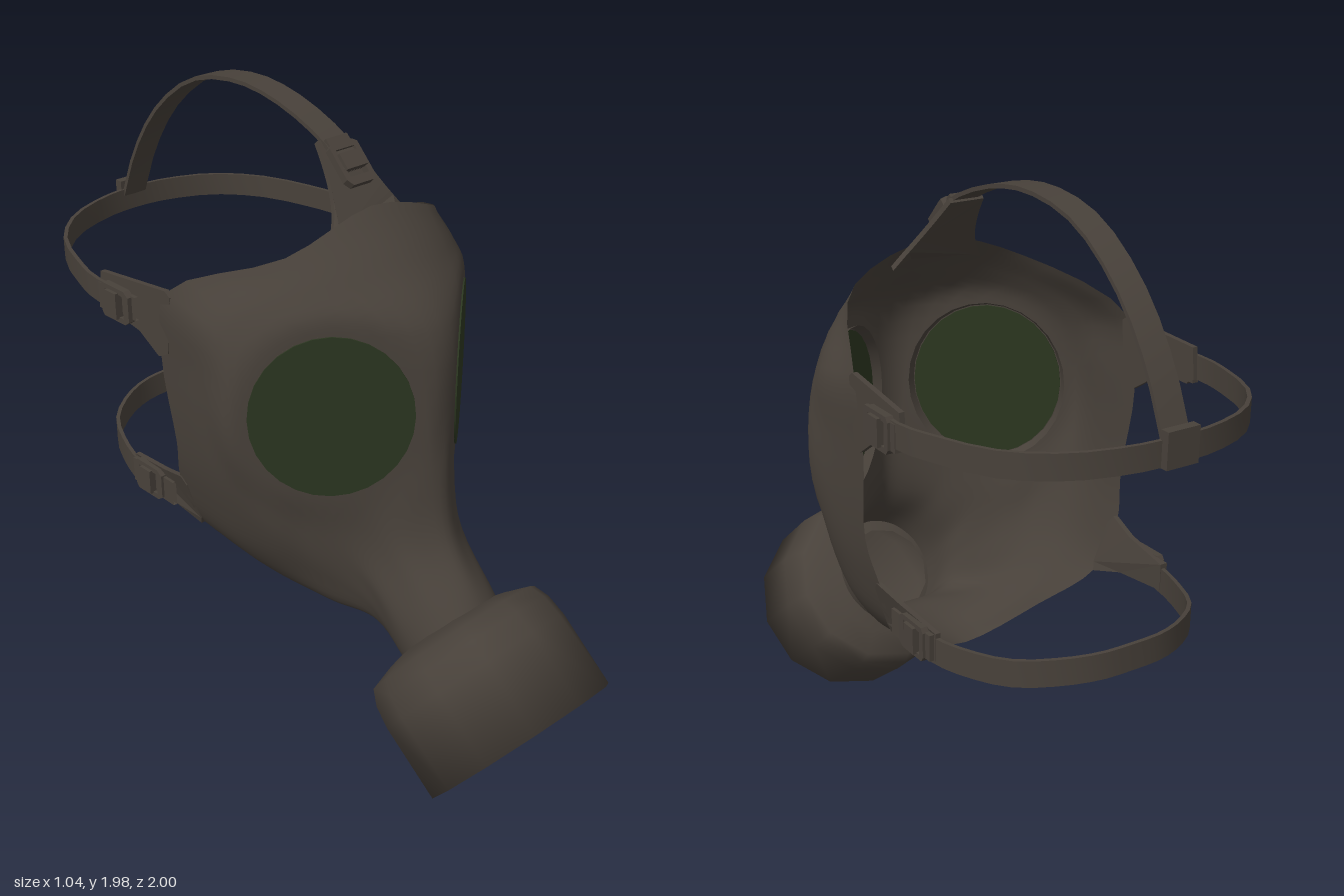
import * as THREE from 'three';
import { toCreasedNormals } from 'three/addons/utils/BufferGeometryUtils.js';

const V = (x, y, z) => new THREE.Vector3(x, y, z);
const rubber = new THREE.MeshStandardMaterial({ color: 0x48413a, side: THREE.DoubleSide });
rubber.name = 'dark brown rubber';
const glass = new THREE.MeshStandardMaterial({ color: 0x2b3620, side: THREE.DoubleSide });
glass.name = 'dark green glass';

function part(name, geometry, material = rubber) {
  const mesh = new THREE.Mesh(geometry, material);
  mesh.name = name;
  return mesh;
}

// Surface from rows of points, each row closing on itself
function loft(rows) {
  const n = rows[0].length, index = [];
  for (let v = 0; v < rows.length - 1; v++) {
    for (let u = 0; u < n; u++) {
      const a = v * n + u, b = v * n + (u + 1) % n;
      index.push(a, a + n, b, b, a + n, b + n);
    }
  }
  const g = new THREE.BufferGeometry().setFromPoints(rows.flat());
  g.setIndex(index);
  g.computeVertexNormals();
  return g;
}

// Columns of the left half, running from the rear rim towards the neck
const COLUMNS = [
  [[0, 1.74, .15], [0, 1.61, .29], [0, 1.45, .425], [0, 1.1, .455], [0, .82, .49]],
  [[.29, 1.655, .115], [.25, 1.57, .23], [.17, 1.46, .345], [.09, 1.1, .41], [.07, .8, .46]],
  [[.465, 1.51, -.19], [.455, 1.46, .04], [.36, 1.38, .18], [.2, 1.12, .315], [.13, .8, .4]],
  [[.465, 1.3, -.23], [.47, 1.28, .05], [.41, 1.2, .14], [.27, 1, .25], [.16, .76, .36]],
  [[.45, 1.02, -.2], [.465, 1.06, .04], [.41, 1, .12], [.3, .88, .21], [.185, .7, .33]],
  [[.42, .87, -.23], [.43, .87, 0], [.38, .83, .12], [.29, .75, .2], [.18, .64, .32]],
  [[.365, .71, -.2], [.37, .71, -.02], [.33, .69, .1], [.26, .65, .19], [.17, .58, .31]],
  [[.22, .58, -.1], [.23, .56, 0], [.22, .55, .1], [.19, .53, .2], [.13, .5, .31]],
  [[0, .47, -.02], [0, .48, .06], [0, .5, .15], [0, .5, .25], [0, .46, .33]],
];
const LENS = V(.26, 1.215, .265), LENS_NORMAL = V(.64, 0, .768).normalize();

// Flatten the face around each lens so that the glass sits flush
function flattenForLens(p) {
  const s = Math.sign(p.x), q = V(Math.abs(p.x), p.y, p.z);
  if (q.x < .02) return p;
  const d = q.clone().sub(LENS), h = d.dot(LENS_NORMAL);
  const radius = d.addScaledVector(LENS_NORMAL, -h).length();
  if (Math.abs(h) > .15) return p;
  q.addScaledVector(LENS_NORMAL, -h * (1 - THREE.MathUtils.smoothstep(radius, .255, .36)));
  return V(q.x * s, q.y, q.z);
}

function faceShell() {
  const half = COLUMNS.map((column, i) => {
    const a = i * Math.PI / 8, c = .178 * Math.cos(a); // column ends on the tilted neck ring
    const pts = column.map(p => V(...p));
    pts.push(V(.158 * Math.sin(a), .498 + .783 * c, .506 + .623 * c));
    return new THREE.CatmullRomCurve3(pts).getPoints(30);
  });
  const rows = [];
  for (let v = 0; v <= 30; v++) {
    const left = half.map(c => c[v]);
    const right = left.slice(1, -1).reverse().map(p => V(-p.x, p.y, p.z));
    const ring = new THREE.CatmullRomCurve3([...left, ...right], true);
    rows.push(Array.from({ length: 64 }, (_, u) => flattenForLens(ring.getPoint(u / 64))));
  }
  return loft(rows);
}

// Flat strap: rectangular section swept along a curve, its width along a fixed axis
function strap(name, points, across, width, segments) {
  const curve = new THREE.CatmullRomCurve3(points), rows = [];
  for (let i = 0; i <= segments; i++) {
    const p = curve.getPoint(i / segments);
    const n = curve.getTangent(i / segments).cross(across).normalize();
    rows.push([[1, 1], [1, -1], [-1, -1], [-1, 1]].map(([a, b]) =>
      p.clone().addScaledVector(across, a * width / 2).addScaledVector(n, b * .006)));
  }
  return part(name, toCreasedNormals(loft(rows), .7));
}

function headLoop(name, half, width) {
  const left = half.map(p => V(...p));
  const right = left.slice(0, -1).reverse().map(p => V(-p.x, p.y, p.z));
  return strap(name, [...left, ...right], V(0, 1, 0), width, 28);
}

// Buckle: open frame, cross bar and strap keeper, facing local +z
function buckle(name, position, along, facing) {
  const group = new THREE.Group();
  group.name = name;
  const shape = new THREE.Shape([[-.038, -.07], [.038, -.07], [.052, -.05], [.052, .05],
    [.038, .06], [-.038, .06], [-.052, .05], [-.052, -.05]].map(p => new THREE.Vector2(...p)));
  shape.holes.push(new THREE.Path([[-.035, -.045], [-.035, .04], [.035, .04], [.035, -.045]]
    .map(p => new THREE.Vector2(...p))));
  group.add(part('buckleFrame', new THREE.ExtrudeGeometry(shape, { depth: .022, bevelEnabled: false })));
  const bar = part('buckleBar', new THREE.BoxGeometry(.08, .05, .026));
  bar.position.z = .02;
  const keeper = part('strapKeeper', new THREE.BoxGeometry(.08, .025, .02));
  keeper.position.set(0, .07, .004);
  group.add(bar, keeper);
  const x = along.clone().cross(facing);
  group.setRotationFromMatrix(new THREE.Matrix4().makeBasis(x, along, facing));
  group.position.copy(position);
  return group;
}

// Side tab: outline in (backward, up), drifting from x0 to x1 and leaning out with height
function sideTab(name, outline, side, x0, x1, lean, midHeight) {
  const shape = new THREE.Shape(outline.map(p => new THREE.Vector2(...p)));
  const g = new THREE.ExtrudeGeometry(shape, { depth: .016, bevelEnabled: false });
  g.translate(0, 0, -.008).rotateY(Math.PI / 2);
  const pos = g.attributes.position;
  for (let i = 0; i < pos.count; i++) {
    const t = (-pos.getZ(i) - .19) / .29;
    const x = x0 + (x1 - x0) * t + lean * (1 - t) * (pos.getY(i) - midHeight);
    pos.setX(i, pos.getX(i) + side * x);
  }
  g.computeVertexNormals();
  return part(name, g);
}

export function createModel() {
  const model = new THREE.Group();
  model.name = 'gasMask';
  model.add(part('faceShell', faceShell()));

  // Filter canister on the tilted neck
  const profile = [[0, 0], [.313, 0], [.316, .24], [.308, .31], [.288, .358], [.21, .385], [.15, .4]];
  const canister = part('filterCanister',
    new THREE.LatheGeometry(profile.map(p => new THREE.Vector2(...p)), 12));
  canister.rotation.x = -.898;
  canister.position.set(0, .252, .805);
  model.add(canister);

  // Lenses, side tabs and side buckles
  const upperTab = [[.17, 1.5], [.19, 1.515], [.47, 1.495], [.48, 1.4], [.4, 1.375], [.31, 1.355], [.23, 1.3], [.19, 1.32]];
  const lowerTab = [[.2, .86], [.22, .885], [.32, .86], [.49, .84], [.49, .755], [.31, .74], [.2, .705], [.19, .73]];
  for (const s of [1, -1]) {
    const side = s > 0 ? 'left' : 'right';
    const lensGroup = new THREE.Group();
    lensGroup.name = side + 'Eyepiece';
    const disc = new THREE.CylinderGeometry(1, 1, .009, 28).rotateX(Math.PI / 2).scale(.235, .25, 1);
    const lip = new THREE.CylinderGeometry(1, 1.05, .03, 28, 1, true).rotateX(Math.PI / 2).scale(.238, .253, 1);
    lip.translate(0, 0, -.015);
    lensGroup.add(part('lens', disc, glass), part('innerLip', lip));
    lensGroup.rotation.y = s * Math.atan2(LENS_NORMAL.x, LENS_NORMAL.z);
    lensGroup.position.set(s * LENS.x, LENS.y, LENS.z);
    model.add(lensGroup);
    model.add(sideTab(side + 'UpperTab', upperTab, s, .463, .482, 0, 1.42));
    model.add(sideTab(side + 'LowerTab', lowerTab, s, .396, .392, .33, .8));
    const back = V(0, 0, -1), out = V(s, 0, 0);
    model.add(buckle(side + 'UpperBuckle', V(s * .488, 1.425, -.385), back, out));
    model.add(buckle(side + 'LowerBuckle', V(s * .4, .795, -.4), back, out));
  }

  // Forehead tab, curved around the brow, with its buckle
  const tab = new THREE.Shape();
  tab.moveTo(-.15, -.02);
  tab.quadraticCurveTo(0, -.03, .15, -.02);
  tab.lineTo(.12, .03);
  tab.quadraticCurveTo(.08, .1, .055, .25);
  tab.lineTo(-.055, .25);
  tab.quadraticCurveTo(-.08, .1, -.12, .03);
  const tabGeometry = new THREE.ExtrudeGeometry(tab, { depth: .016, bevelEnabled: false });
  const tabPos = tabGeometry.attributes.position;
  for (let i = 0; i < tabPos.count; i++) tabPos.setZ(i, tabPos.getZ(i) - 1.8 * tabPos.getX(i) ** 2);
  tabGeometry.computeVertexNormals();
  const foreheadTab = part('foreheadTab', tabGeometry);
  foreheadTab.rotation.x = -.77;
  foreheadTab.position.set(0, 1.71, .155);
  model.add(foreheadTab);
  model.add(buckle('foreheadBuckle', V(0, 1.835, .055), V(0, .718, -.696), V(0, .696, .718)));

  // Head straps
  model.add(headLoop('upperStrap', [[.49, 1.43, -.3], [.492, 1.435, -.5], [.47, 1.44, -.6], [.4, 1.447, -.78],
    [.28, 1.455, -.9], [.12, 1.46, -.96], [0, 1.462, -.97]], .072));
  model.add(headLoop('lowerStrap', [[.41, .79, -.28], [.395, .785, -.48], [.36, .79, -.6], [.3, .802, -.72],
    [.2, .815, -.8], [.1, .822, -.84], [0, .825, -.848]], .08));
  model.add(strap('crownStrap', [[1.83, .085], [1.9, -.02], [1.965, -.2], [1.985, -.38], [1.945, -.58],
    [1.82, -.76], [1.65, -.89], [1.44, -.985]].map(([y, z]) => V(0, y, z)), V(1, 0, 0), .085, 18));
  const join = part('strapJoin', new THREE.BoxGeometry(.1, .1, .028));
  join.position.set(0, 1.475, -.983);
  model.add(join);
  return model;
}
